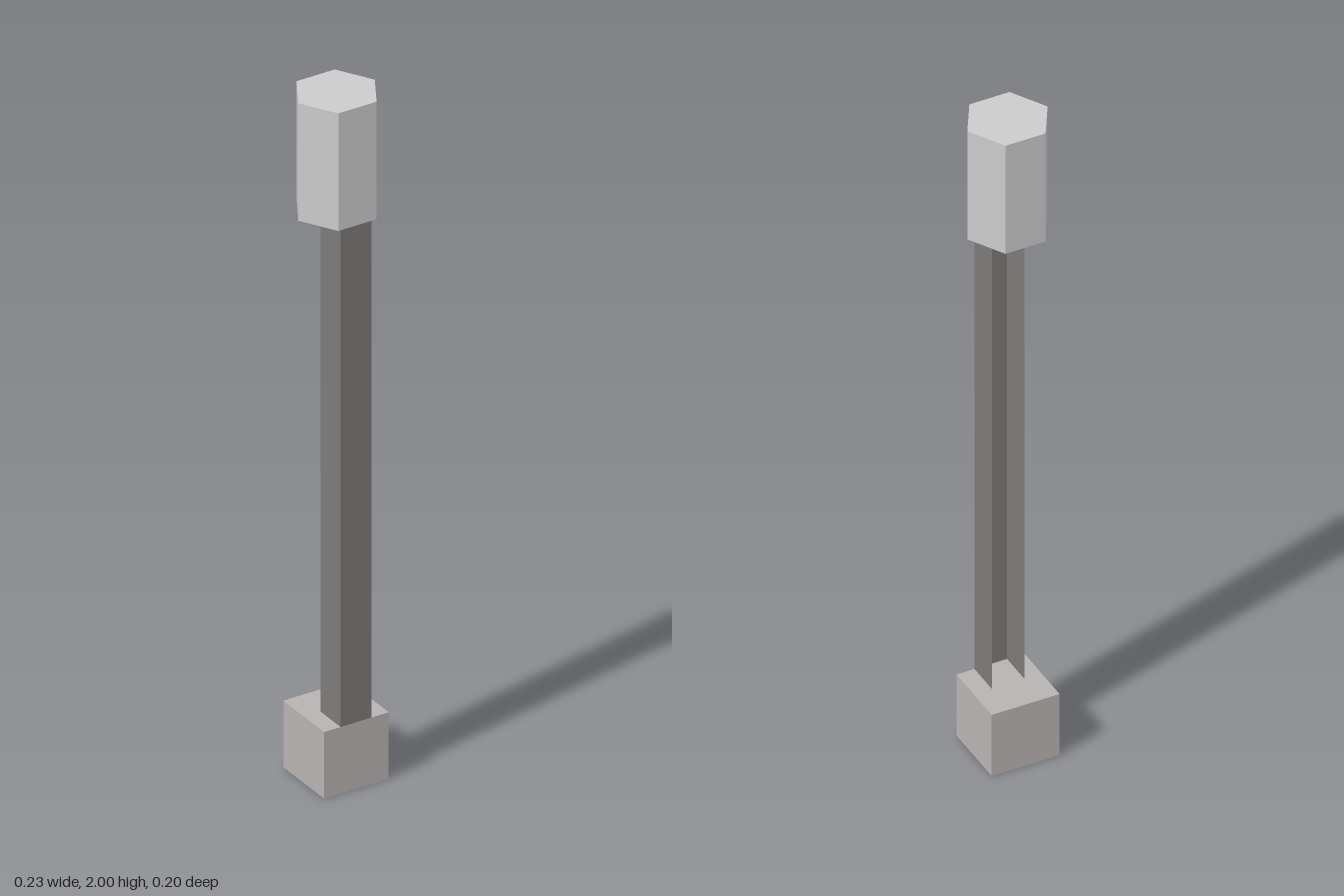
import * as THREE from 'three';

const BASE_TOP = 0.195, HEAD_BOTTOM = 1.655, TOP = 2;

function addPart(group, name, geometry, color, position, side = THREE.FrontSide) {
  const material = new THREE.MeshStandardMaterial({ color, flatShading: true, side });
  const mesh = new THREE.Mesh(geometry, material);
  mesh.name = name;
  mesh.position.set(...position);
  group.add(mesh);
  return mesh;
}

export function createModel() {
  const model = new THREE.Group();
  model.name = 'post';

  // Square foot block
  addPart(model, 'base', new THREE.BoxGeometry(0.196, BASE_TOP, 0.196), 0xb7b3b2,
    [-0.001, BASE_TOP / 2, -0.001]);

  // Thin channel, open at the back: front sheet and two side sheets
  const channel = new THREE.Group();
  channel.name = 'channel';
  model.add(channel);
  const height = HEAD_BOTTOM - BASE_TOP, midY = (HEAD_BOTTOM + BASE_TOP) / 2;
  const width = 0.094, depth = 0.097, centreX = -0.002, frontZ = 0.097;
  addPart(channel, 'channelFront', new THREE.PlaneGeometry(width, height), 0x7d7b7a,
    [centreX, midY, frontZ], THREE.DoubleSide);
  for (const [name, s] of [['channelLeft', 1], ['channelRight', -1]]) {
    const wall = addPart(channel, name, new THREE.PlaneGeometry(depth, height), 0x7d7b7a,
      [centreX + s * width / 2, midY, frontZ - depth / 2], THREE.DoubleSide);
    wall.rotation.y = s * Math.PI / 2;
  }

  // Six-sided head with corners pointing sideways
  const headHeight = TOP - HEAD_BOTTOM;
  addPart(model, 'head',
    new THREE.CylinderGeometry(0.116, 0.116, headHeight, 6, 1, false, Math.PI / 6), 0xcccccc,
    [0, HEAD_BOTTOM + headHeight / 2, 0]);

  return model;
}
